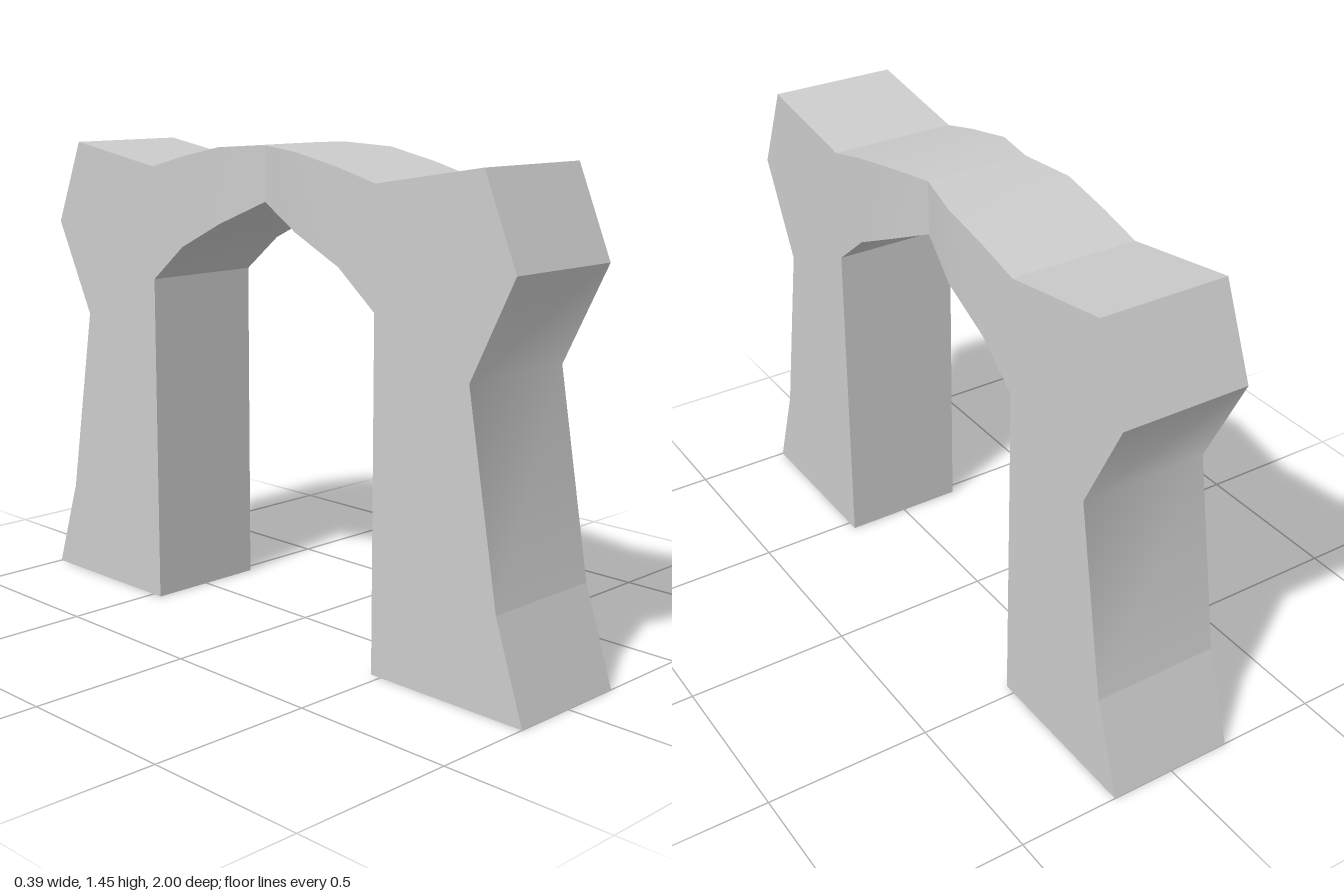
import * as THREE from 'three';
import { mergeGeometries } from 'three/addons/utils/BufferGeometryUtils.js';

// Half profile as [z, y], from the crown of the arch out to the leg
const top = [[0, 1.45], [0.16, 1.44], [0.33, 1.405], [0.465, 1.37]];
const under = [[0, 1.29], [0.16, 1.217], [0.33, 1.135], [0.465, 1.025]];
const horn = [0.835, 1.43], elbow = [0.945, 1.17], waist = [0.8, 0.88];
const shin = [0.905, 0.285], toe = [1, 0], heel = [0.465, 0];

// The arch is pinched at its crown
const halfWidth = (z) => (z < 0.01 ? 0.16 : 0.195);

function indexed(positions, index) {
  const g = new THREE.BufferGeometry();
  g.setAttribute('position', new THREE.Float32BufferAttribute(positions, 3));
  g.setIndex(index);
  g.computeVertexNormals();
  return g;
}

// Smooth band across the thickness, following the outline
function strip(points) {
  const positions = [], index = [];
  points.forEach(([z, y], i) => {
    const w = halfWidth(z), a = 2 * i;
    positions.push(w, y, z, -w, y, z);
    if (i < points.length - 1) index.push(a + 1, a + 3, a, a, a + 3, a + 2);
  });
  return indexed(positions, index);
}

// Side face: arch segments plus the leg polygon
function side(sign) {
  const points = [...top, ...under, horn, elbow, waist, shin, toe, heel];
  const n = top.length;
  const triangles = [];
  for (let i = 0; i < n - 1; i++) {
    triangles.push([i, i + 1, n + i + 1], [i, n + i + 1, n + i]);
  }
  const leg = [n - 1, 8, 9, 10, 11, 12, 13, 2 * n - 1];
  const contour = leg.map((i) => new THREE.Vector2(...points[i]));
  for (const t of THREE.ShapeUtils.triangulateShape(contour, [])) {
    triangles.push(t.map((k) => leg[k]));
  }
  const index = triangles.flatMap(([a, b, c]) => {
    const tri = [a, b, c].map((i) => new THREE.Vector2(...points[i]));
    return THREE.ShapeUtils.area(tri) * sign < 0 ? [a, b, c] : [a, c, b];
  });
  return indexed(points.flatMap(([z, y]) => [sign * halfWidth(z), y, z]), index);
}

export function createModel() {
  const model = new THREE.Group();
  model.name = 'archway';
  const material = new THREE.MeshStandardMaterial({ color: 0xcccccc });

  const half = mergeGeometries([
    strip(top),
    strip([top[3], horn]),
    strip([horn, elbow]),
    strip([elbow, waist, shin]),
    strip([shin, toe]),
    strip([toe, heel]),
    strip([heel, under[3]]),
    strip([...under].reverse()),
    side(1),
    side(-1),
  ]);

  // Two identical halves meet at the crown
  ['frontHalf', 'backHalf'].forEach((name, i) => {
    const mesh = new THREE.Mesh(half, material);
    mesh.name = name;
    mesh.rotation.y = i * Math.PI;
    model.add(mesh);
  });
  return model;
}
